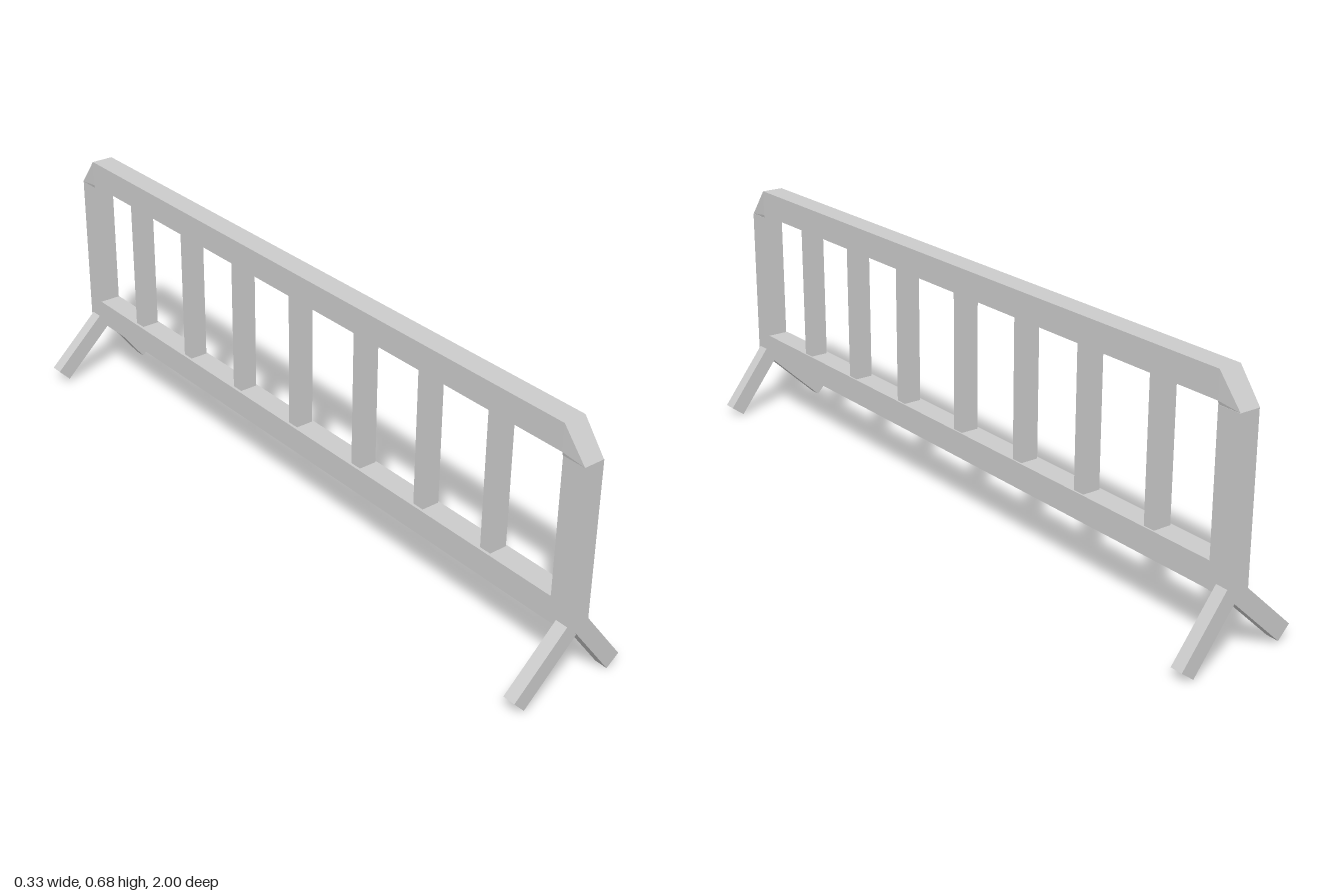
import * as THREE from 'three';

const material = new THREE.MeshStandardMaterial({ color: 0xcccccc, flatShading: true });

function addMesh(parent, name, geometry, x, y, z) {
  const mesh = new THREE.Mesh(geometry, material);
  mesh.name = name;
  mesh.position.set(x, y, z);
  parent.add(mesh);
  return mesh;
}

// Box given by its lower and upper limits
function addBox(parent, name, [x0, x1], [y0, y1], [z0, z1]) {
  return addMesh(parent, name, new THREE.BoxGeometry(x1 - x0, y1 - y0, z1 - z0),
    (x0 + x1) / 2, (y0 + y1) / 2, (z0 + z1) / 2);
}

// Flat leg running from foot to top in the xy plane
function addLeg(parent, name, foot, top, width, z) {
  const dx = top[0] - foot[0], dy = top[1] - foot[1];
  const leg = addMesh(parent, name, new THREE.BoxGeometry(width, Math.hypot(dx, dy), 0.035),
    (foot[0] + top[0]) / 2, (foot[1] + top[1]) / 2, z);
  leg.rotation.z = Math.atan2(-dx, dy);
}

export function createModel() {
  const model = new THREE.Group();
  model.name = 'barrier';
  const railX = [-0.0205, 0.0415], postX = [-0.017, 0.04], barX = [-0.013, 0.037];
  const centreX = 0.0105;

  // Top rail with chamfered ends, narrowing to the posts
  const outline = [[-1, 0.603], [-0.935, 0.603], [-0.935, 0.612], [0.935, 0.612],
    [0.935, 0.603], [1, 0.603], [0.935, 0.683], [-0.935, 0.683]];
  const shape = new THREE.Shape(outline.map(([z, y]) => new THREE.Vector2(z, y)));
  const depth = railX[1] - railX[0];
  const railGeometry = new THREE.ExtrudeGeometry(shape, { depth, bevelEnabled: false });
  railGeometry.translate(0, 0, -depth / 2);
  const p = railGeometry.attributes.position;
  for (let i = 0; i < p.count; i++) {
    if (p.getY(i) < 0.605) p.setZ(i, p.getZ(i) * 0.92);
  }
  railGeometry.rotateY(-Math.PI / 2);
  railGeometry.computeVertexNormals();
  addMesh(model, 'topRail', railGeometry, centreX, 0, 0);

  addBox(model, 'bottomRail', railX, [0.17, 0.24], [-0.936, 0.936]);

  // Upright bars
  for (const z of [0.718, 0.483, 0.247, -0.01, -0.256, -0.491, -0.737]) {
    addBox(model, 'bar', barX, [0.235, 0.615], [z - 0.017, z + 0.017]);
  }

  // End posts, each with a splayed pair of legs
  for (const side of [1, -1]) {
    const end = new THREE.Group();
    end.name = side > 0 ? 'frontEnd' : 'backEnd';
    model.add(end);
    addBox(end, 'post', postX, [0.167, 0.603], side > 0 ? [0.935, 1] : [-1, -0.935]);
    addLeg(end, 'rightLeg', [-0.151, 0.0245], [0.006, 0.173], 0.047, side * 0.974);
    addLeg(end, 'leftLeg', [0.147, 0.0145], [0.015, 0.187], 0.045, side * 0.976);
  }
  return model;
}
